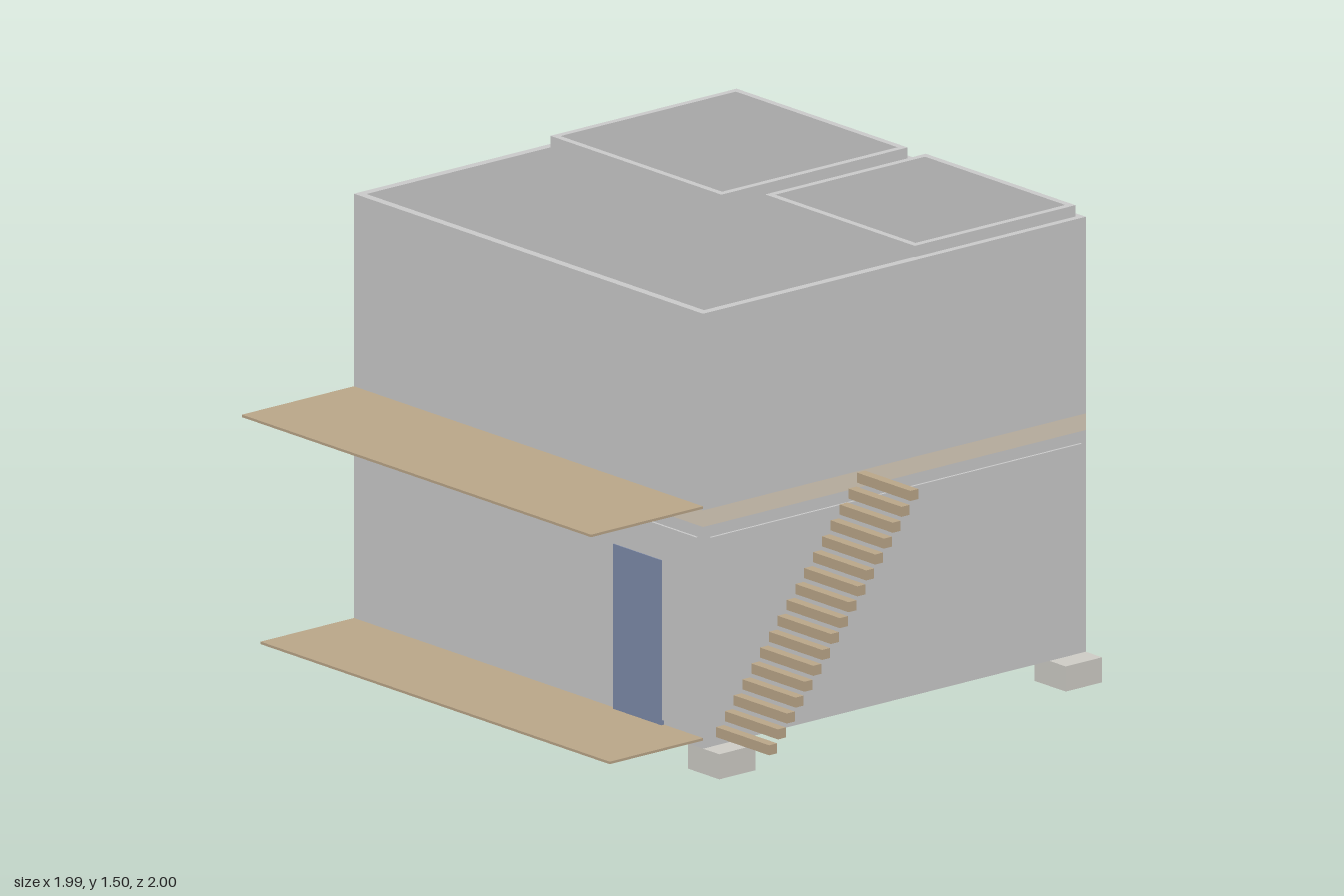
import * as THREE from 'three';

const grey = new THREE.MeshStandardMaterial({ color: 0xcccccc });
const floorTan = new THREE.MeshStandardMaterial({ color: 0xdbcfbd });
const wood = new THREE.MeshStandardMaterial({ color: 0xbca88a });
const blue = new THREE.MeshStandardMaterial({ color: 0x7f8cab });
const stone = new THREE.MeshStandardMaterial({ color: 0xd0cec8 });

// Box given by its minimum and maximum on each axis
function box(parent, name, [x0, x1], [y0, y1], [z0, z1], material = grey) {
  const mesh = new THREE.Mesh(new THREE.BoxGeometry(x1 - x0, y1 - y0, z1 - z0), material);
  mesh.position.set((x0 + x1) / 2, (y0 + y1) / 2, (z0 + z1) / 2);
  mesh.name = name;
  parent.add(mesh);
  return mesh;
}

// Rectangular ring of walls, open at top and bottom
function wallRing(parent, name, [x0, x1], [y0, y1], [z0, z1], t) {
  const shape = new THREE.Shape([
    new THREE.Vector2(x0, -z0), new THREE.Vector2(x0, -z1),
    new THREE.Vector2(x1, -z1), new THREE.Vector2(x1, -z0),
  ]);
  shape.holes.push(new THREE.Path([
    new THREE.Vector2(x0 + t, -z0 - t), new THREE.Vector2(x1 - t, -z0 - t),
    new THREE.Vector2(x1 - t, -z1 + t), new THREE.Vector2(x0 + t, -z1 + t),
  ]));
  const geometry = new THREE.ExtrudeGeometry(shape, { depth: y1 - y0, bevelEnabled: false });
  geometry.rotateX(-Math.PI / 2);
  const mesh = new THREE.Mesh(geometry, grey);
  mesh.position.y = y0;
  mesh.name = name;
  parent.add(mesh);
}

export function createModel() {
  const house = new THREE.Group();
  house.name = 'house';
  const X = [-0.92, 0.713];
  const Z = [-0.987, 0.55];
  const t = 0.027;

  // Storeys and floors
  wallRing(house, 'lowerWalls', X, [0.08, 0.787], Z, t);
  box(house, 'groundFloor', [X[0] + t, X[1] - t], [0.081, 0.11], [Z[0] + t, Z[1] - t], floorTan);
  box(house, 'upperFloor', X, [0.787, 0.84], Z, floorTan);
  wallRing(house, 'upperWalls', X, [0.84, 1.467], Z, t);

  // Two rooms standing on the upper floor
  wallRing(house, 'leftRoom', [-0.895, -0.095], [0.84, 1.503], [-0.965, -0.217], 0.022);
  wallRing(house, 'rightRoom', [-0.01, 0.69], [0.84, 1.503], [-0.965, -0.32], 0.022);

  // Thin cladding panels on the lower storey, and a lining inside the upper front wall
  const panelY = [0.13, 0.75];
  const panelX = [-0.895, 0.69];
  const panelZ = [-0.965, 0.525];
  box(house, 'frontPanel', panelX, panelY, [0.55, 0.558]);
  box(house, 'backPanel', panelX, panelY, [-0.996, Z[0]]);
  box(house, 'sidePanel', [-0.928, X[0]], panelY, panelZ);
  box(house, 'sidePanel', [X[1], 0.721], panelY, panelZ);
  box(house, 'frontLining', panelX, [0.87, 1.45], [0.51, 0.523]);

  // Window plate at the back, door and doorstep at the front
  box(house, 'backWindow', [-0.25, 0.05], [0.34, 0.59], [-1, -0.996]);
  box(house, 'door', [0.305, 0.53], [0.11, 0.64], [0.55, 0.561], blue);
  box(house, 'doorstep', [0.28, 0.555], [0.093, 0.109], [0.55, 0.755]);

  // Porch deck and canopy deck
  box(house, 'lowerDeck', X, [0.106, 0.114], [0.55, 0.925], wood);
  box(house, 'upperDeck', X, [0.845, 0.853], [0.55, 1], wood);

  // Foundation blocks in two rows
  for (let i = 0; i < 5; i++) {
    const x = -0.995 + i * 0.4095;
    for (const z of [Z[0], 0.404]) {
      box(house, 'foundationBlock', [x, x + 0.146], [0, 0.08], [z, z + 0.146], stone);
    }
  }

  // Open stair of separate treads beside the house
  const stair = new THREE.Group();
  stair.name = 'stair';
  const steps = 17;
  for (let i = 0; i < steps; i++) {
    const k = i / (steps - 1);
    const y = 0.135 + k * 0.697;
    const z = 0.508 - k * 0.567;
    box(stair, 'tread', [0.743, 0.992], [y - 0.016, y + 0.016], [z - 0.016, z + 0.016], wood);
  }
  house.add(stair);

  return house;
}
